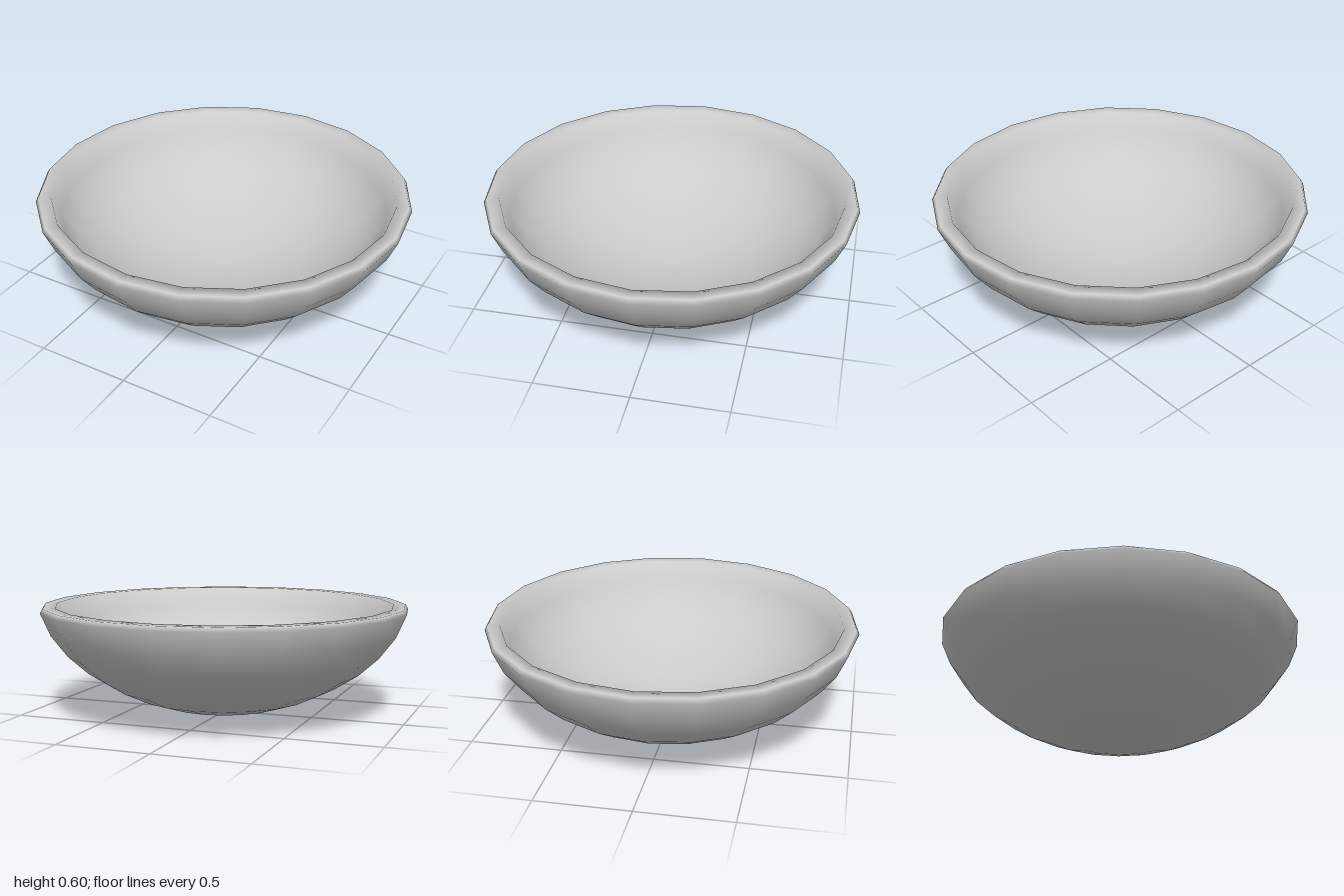
import * as THREE from 'three';

export function createModel() {
  const group = new THREE.Group();
  group.name = 'bowl';
  const material = new THREE.MeshStandardMaterial({ color: 0xcccccc });

  // Outer wall from the bottom centre up to the lip
  const outer = [
    [0, 0], [0.176, 0.014], [0.33, 0.046], [0.481, 0.095], [0.62, 0.16],
    [0.754, 0.245], [0.861, 0.342], [0.947, 0.455], [1, 0.577],
  ];
  // Bevelled lip, then the inner wall back down to the centre
  const lip = [[0.985, 0.6], [0.92, 0.6]];
  const inner = [
    [0.877, 0.494], [0.8, 0.397], [0.706, 0.31], [0.58, 0.23],
    [0.45, 0.17], [0.31, 0.125], [0.165, 0.092], [0, 0.08],
  ];

  // One closed, smooth-shaded shell with twenty sides
  const profile = [...outer, ...lip, ...inner].map(([r, y]) => new THREE.Vector2(r, y));
  const shell = new THREE.Mesh(new THREE.LatheGeometry(profile, 20), material);
  shell.name = 'bowlShell';
  group.add(shell);
  return group;
}
